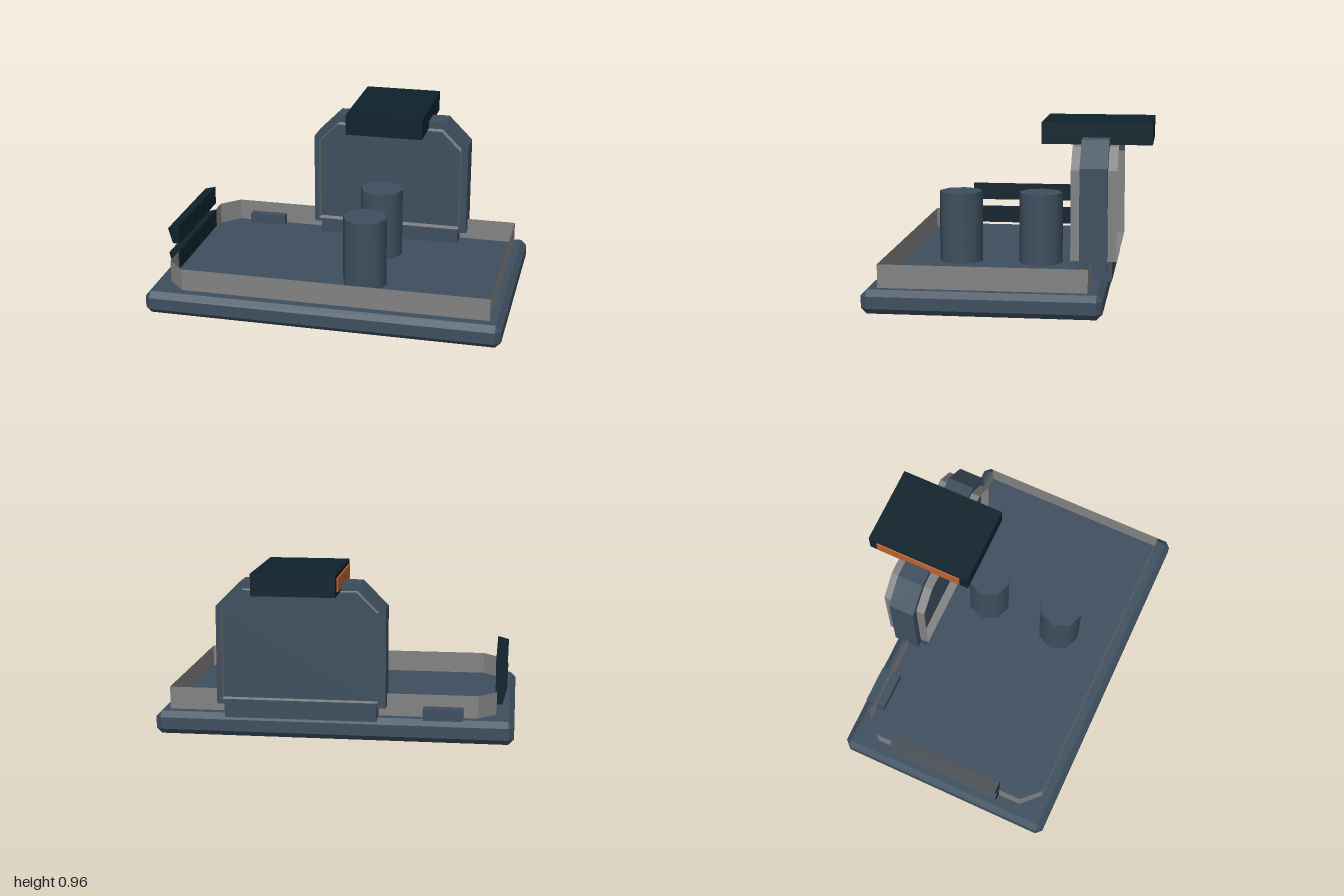
import * as THREE from 'three';
import { ConvexGeometry } from 'three/addons/geometries/ConvexGeometry.js';

export function createModel() {
  const model = new THREE.Group();
  const mat = (name, color, side = THREE.FrontSide) => {
    const m = new THREE.MeshStandardMaterial({ color, side });
    m.name = name;
    return m;
  };
  const slate = mat('slate blue', 0x3e4e5e);
  const grey = mat('trim grey', 0x828282, THREE.DoubleSide);
  const dark = mat('dark navy', 0x0e222d);
  const orange = mat('orange', 0xb8632e);

  const add = (name, geometry, material) => {
    const mesh = new THREE.Mesh(geometry, material);
    mesh.name = name;
    model.add(mesh);
    return mesh;
  };
  // Box given by its extents
  const box = (name, material, [x0, x1], [y0, y1], [z0, z1]) => {
    const g = new THREE.BoxGeometry(x1 - x0, y1 - y0, z1 - z0);
    g.translate((x0 + x1) / 2, (y0 + y1) / 2, (z0 + z1) / 2);
    return add(name, g, material);
  };
  // Profile in x and y, extruded from z0 to z1
  const prism = (name, material, points, z0, z1) => {
    const shape = new THREE.Shape(points.map(([x, y]) => new THREE.Vector2(x, y)));
    const g = new THREE.ExtrudeGeometry(shape, { depth: z1 - z0, bevelEnabled: false });
    g.translate(0, 0, z0);
    return add(name, g, material);
  };
  // Thin open band swept along a path; place(point, t) gives its two edges
  const ribbon = (name, material, path, place) => {
    const pos = [];
    for (let i = 0; i < path.length - 1; i++) {
      const a = place(path[i], 0), b = place(path[i + 1], 0);
      const c = place(path[i + 1], 1), d = place(path[i], 1);
      pos.push(...a, ...b, ...c, ...a, ...c, ...d);
    }
    const g = new THREE.BufferGeometry();
    g.setAttribute('position', new THREE.Float32BufferAttribute(pos, 3));
    g.computeVertexNormals();
    return add(name, g, material);
  };

  // Base slab with every edge chamfered
  const half = [1, 0.065, 0.635], cut = 0.032, corners = [];
  for (const sx of [-1, 1]) for (const sy of [-1, 1]) for (const sz of [-1, 1]) {
    for (let full = 0; full < 3; full++) {
      const p = half.map((h, i) => (i === full ? h : h - cut));
      corners.push(new THREE.Vector3(sx * p[0], sy * p[1], sz * p[2]));
    }
  }
  add('base', new ConvexGeometry(corners), slate).position.set(0, 0.065, 0.115);

  // Low wall round the deck, open on the side where the slats sit
  ribbon('deckWall', grey, [
    [-0.9, -0.22], [-0.9, -0.34], [-0.8, -0.44], [0.93, -0.44],
    [0.93, 0.67], [-0.8, 0.67], [-0.9, 0.57], [-0.9, 0.44],
  ], ([x, z], t) => [x, t ? 0.257 : 0.125, z]);

  // Two slats, one above the other
  for (const y of [0.158, 0.308]) {
    prism('slat', dark, [
      [-0.93, y], [-0.89, y], [-0.89, y + 0.108], [-0.955, y + 0.09],
    ], -0.22, 0.44);
  }

  // Eight-sided posts
  for (const z of [-0.115, 0.345]) {
    add('post', new THREE.CylinderGeometry(0.125, 0.125, 0.41, 8), slate)
      .position.set(0.175, 0.33, z);
  }

  // Tower: core slab, trim band that stands proud of it, and foot
  const arch = (inset, c) => {
    const l = -0.298 + inset, r = 0.642 - inset, b = 0.19 + inset, t = 0.88 - inset;
    return [[l, b], [r, b], [r, t - c], [r - c, t], [l + c, t], [l, t - c]];
  };
  prism('towerCore', slate, arch(0, 0.14), -0.52, -0.37);
  const band = arch(0.04, 0.115);
  band.push(band[0]);
  // Front and back halves of the trim band
  for (const [z0, z1] of [[-0.37, -0.32], [-0.57, -0.52]]) {
    ribbon('towerTrim', grey, band, ([x, y], t) => [x, y, t ? z1 : z0]);
  }
  box('towerFoot', slate, [-0.25, 0.595], [0.12, 0.229], [-0.545, -0.345]);

  // Head on top of the tower with a coloured side plate
  box('head', dark, [-0.052, 0.402], [0.84, 0.96], [-0.75, -0.142]);
  box('sidePlate', orange, [-0.061, -0.052], [0.863, 0.937], [-0.7, -0.192]);

  // Small block across the back wall
  box('backTab', slate, [-0.72, -0.5], [0.125, 0.19], [-0.505, -0.39]);

  return model;
}
